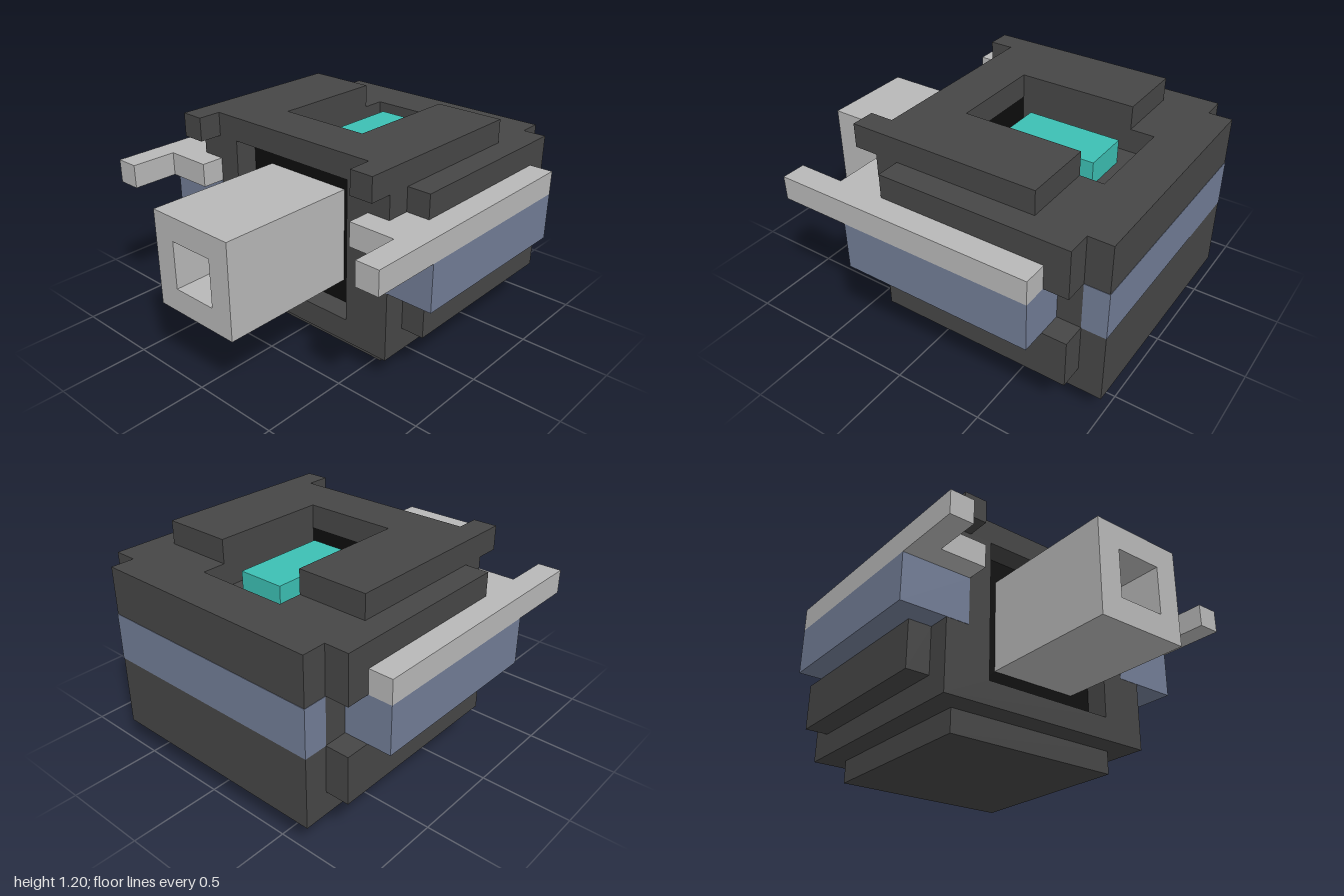
import * as THREE from 'three';

const U = 2 / 15; // grid step: every part is laid out in whole or half steps

export function createModel() {
  const model = new THREE.Group();
  const mat = (name, color) => {
    const m = new THREE.MeshStandardMaterial({ color });
    m.name = name;
    return m;
  };
  const dark = mat('dark grey', 0x464646);
  const light = mat('light grey', 0xb8b8b8);
  const blue = mat('slate blue', 0x727d96);
  const teal = mat('teal', 0x3cbfb3);
  const black = mat('black', 0x0d0d0d);

  const add = (name, geometry, material) => {
    const mesh = new THREE.Mesh(geometry.scale(U, U, U), material);
    mesh.name = name;
    model.add(mesh);
    return mesh;
  };
  // Box from its extents in grid steps
  const box = (name, material, [x0, x1], [y0, y1], [z0, z1]) =>
    add(name, new THREE.BoxGeometry(x1 - x0, y1 - y0, z1 - z0)
      .translate((x0 + x1) / 2, (y0 + y1) / 2, (z0 + z1) / 2), material);
  const outline = (pts) => new THREE.Shape(pts.map(([x, y]) => new THREE.Vector2(x, y)));
  const extrude = (shape, depth) => new THREE.ExtrudeGeometry(shape, { depth, bevelEnabled: false });
  // Plan outline (x, z) raised one step, with its top at the given height
  const slab = (name, pts, top) =>
    add(name, extrude(outline(pts), 1).rotateX(Math.PI / 2).translate(0, top, 0), dark);

  // Hull: base, lower block, front frame and top deck with its recess
  box('base', dark, [-4, 4], [0, 1], [-6.5, 1.5]);
  box('hull', dark, [-5, 5], [1, 7], [-7.5, 0.5]);
  add('frontFrame', extrude(outline([
    [-5, 1], [5, 1], [5, 8], [3, 8], [3, 2], [-3, 2], [-3, 8], [-5, 8],
  ]), 2).translate(0, 0, 0.5), dark);
  slab('deck', [
    [-5, -7.5], [5, -7.5], [5, 0.5], [2, 0.5], [2, -5.5], [-2, -5.5], [-2, 0.5], [-5, 0.5],
  ], 8);
  box('frontPanel', black, [-3, 3], [2, 8], [0.5, 1.5]);

  // Roof plate, notched at the front and open at the back
  slab('roofPlate', [
    [-5, -4.5], [-2, -4.5], [-2, 0.5], [2, 0.5], [2, -4.5], [5, -4.5],
    [5, 3.5], [4, 3.5], [4, 2.5], [-4, 2.5], [-4, 3.5], [-5, 3.5],
  ], 9);
  box('roofLight', teal, [-1, 1], [7, 8], [-4.5, -0.5]);

  // Band round the back, a hair proud of the hull
  box('rearBand', blue, [-5.015, 5.015], [4, 6], [-7.515, -6.5]);

  // Square barrel with a blind bore
  const muzzle = outline([[-2, 3], [2, 3], [2, 7], [-2, 7]]);
  muzzle.holes.push(new THREE.Path([[-1, 4], [-1, 6], [1, 6], [1, 4]].map(([x, y]) => new THREE.Vector2(x, y))));
  add('muzzle', extrude(muzzle, 2).translate(0, 0, 5.5), light);
  box('barrel', light, [-2, 2], [3, 7], [1.5, 5.5]);

  // Side armour, wings and arms, mirrored
  for (const [side, s] of [['left', 1], ['right', -1]]) {
    const span = (a, b) => (s > 0 ? [a, b] : [-b, -a]);
    box(side + 'UpperPlate', dark, span(5, 6), [6, 8], [-6.5, 1.5]);
    box(side + 'LowerPlate', dark, span(5, 6), [2, 4], [-6.5, 1.5]);
    box(side + 'Wing', blue, span(4, 7), [4, 6], [-5.5, 2.515]);
    box(side + 'Arm', light, span(6, 7), [6, 7], [-5.5, 5.5]);
    box(side + 'Bracket', light, span(4, 6), [6, 7], [1.5, 3.5]);
  }
  return model;
}
